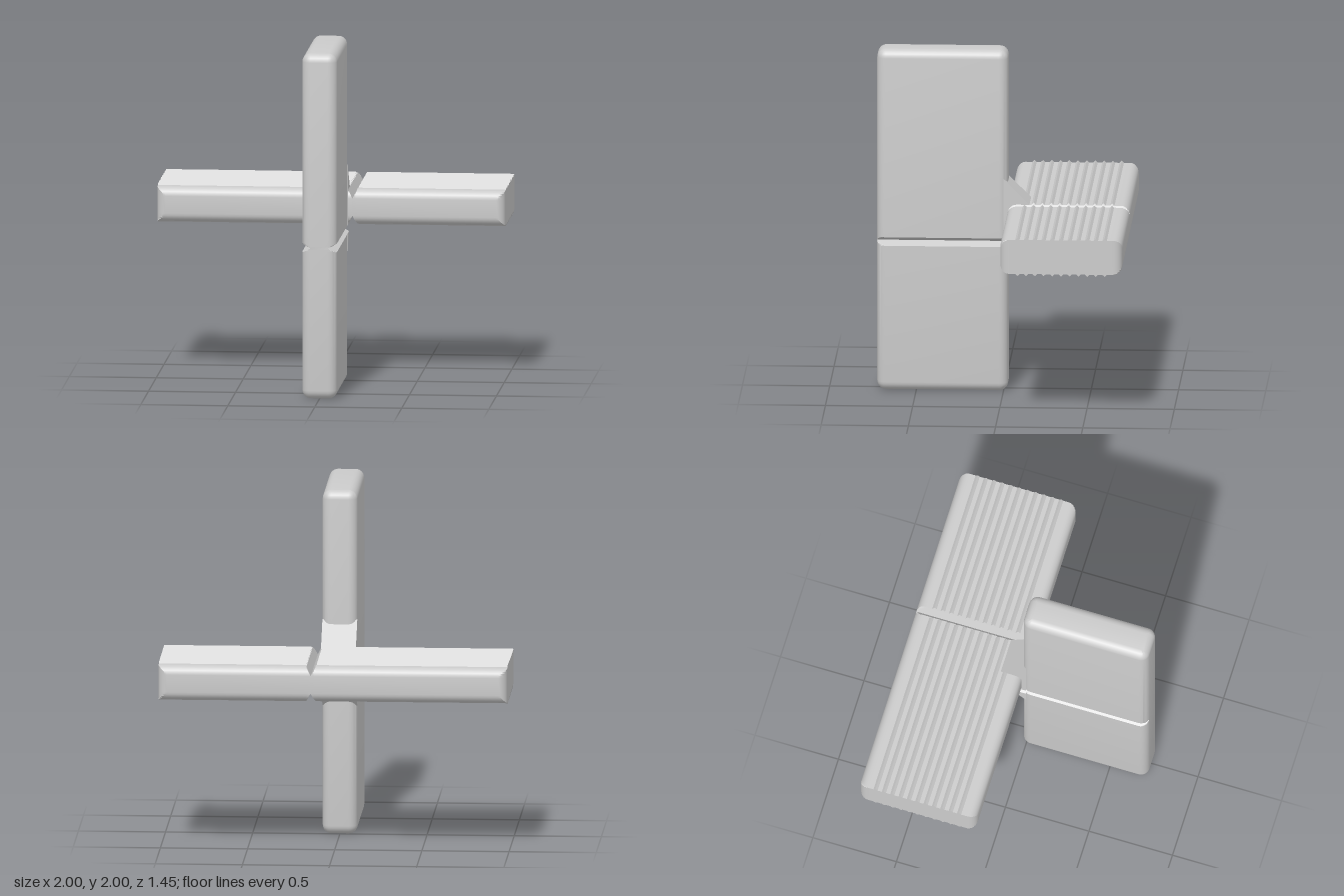
import * as THREE from 'three';
import { toCreasedNormals } from 'three/addons/utils/BufferGeometryUtils.js';

const STEPS = 6;   // segments per rounded corner
const R = 0.05;    // edge radius

// Counter-clockwise rounded rectangle; ridges (if any) stand on the two u faces
function ring(hu, hv, r, ridges = 0) {
  const pts = [];
  const signs = [[1, 1], [-1, 1], [-1, -1], [1, -1]];
  signs.forEach(([su, sv], c) => {
    for (let i = 0; i <= STEPS; i++) {
      const a = (c + i / STEPS) * Math.PI / 2;
      pts.push([su * (hu - r) + r * Math.cos(a), sv * (hv - r) + r * Math.sin(a)]);
    }
    if (ridges && c % 2) {
      const dir = su; // direction of travel along v
      for (let k = 0; k < ridges; k++) {
        const v = dir * (k - (ridges - 1) / 2) * 0.05;
        pts.push([su * hu, v - dir * 0.0125], [su * (hu + 0.0125), v], [su * hu, v + dir * 0.0125]);
      }
    }
  });
  return pts;
}

// Skin a list of cross-sections placed along w, with closed ends
function loft(positions, section, toWorld) {
  const rings = positions.map(section);
  const n = rings[0].length, verts = [], index = [];
  rings.forEach((pts, i) => pts.forEach(([u, v]) => verts.push(...toWorld(u, v, positions[i]))));
  for (let i = 0; i < rings.length - 1; i++) {
    for (let j = 0; j < n; j++) {
      const a = i * n + j, b = i * n + (j + 1) % n;
      index.push(a, b, b + n, a, b + n, a + n);
    }
  }
  const cap = (k, flip) => {
    const flat = rings[k].map(([u, v]) => new THREE.Vector2(u, v));
    for (const [a, b, c] of THREE.ShapeUtils.triangulateShape(flat, [])) {
      const o = k * n;
      index.push(o + a, o + (flip ? c : b), o + (flip ? b : c));
    }
  };
  cap(0, true);
  cap(rings.length - 1, false);
  const g = new THREE.BufferGeometry();
  g.setAttribute('position', new THREE.Float32BufferAttribute(verts, 3));
  g.setIndex(index);
  return toCreasedNormals(g, 0.5);
}

const clamp = THREE.MathUtils.clamp;

// Half thickness left by a V notch cut from both faces around w = centre
const notch = (w, centre) => 0.05 + 2 * Math.abs(w - centre);

// Stations along a plate from lo to hi: rounded ends plus the notch
function stations(lo, hi, centre, halfWidth) {
  const list = [];
  for (let i = 0; i <= STEPS; i++) list.push(lo + R * (1 - Math.cos(i / STEPS * Math.PI / 2)));
  for (let i = -5; i <= 5; i++) list.push(centre + halfWidth * i / 5);
  for (let i = STEPS; i >= 0; i--) list.push(hi - R * (1 - Math.cos(i / STEPS * Math.PI / 2)));
  return list;
}

// Radius remaining at a distance d from a rounded end
const endRadius = (d) => d >= R ? R : Math.sqrt(Math.max(0, R * R - (R - d) ** 2));

export function createModel() {
  const group = new THREE.Group();
  const material = new THREE.MeshStandardMaterial({ color: 0xcccccc });
  const add = (name, geometry) => {
    const mesh = new THREE.Mesh(geometry, material);
    mesh.name = name;
    group.add(mesh);
  };

  // Upright plate, all edges rounded, notched on both sides (u = z, v = x, w = y)
  add('uprightPlate', loft(stations(0, 2, 0.875, 0.025), (y) => {
    const r = endRadius(Math.min(y, 2 - y));
    const h = notch(y, 0.875);
    return ring(0.325 + r, 0.05 + r, r).map(([u, v]) => [u, clamp(v, -h, h)]);
  }, (u, v, w) => [v, w, u + 0.35]));

  // Ridged cross plate, rounded in profile and in plan (u = y, v = z, w = x)
  add('ridgedCrossPlate', loft(stations(-1, 1, 0.125, 0.03125), (x) => {
    const z = 0.3 + endRadius(1 - Math.abs(x));
    const h = notch(x, 0.125);
    return ring(0.1, 0.35, R, 11).map(([u, v]) => [clamp(u, -h, h), clamp(v, -z, z)]);
  }, (u, v, w) => [w, u + 1, v - 0.375]));

  // Sloped gusset joining the plates, sharing the upright's notch
  add('gusset', loft([0.75, 0.85, 0.875, 0.9, 1.1, 1.25], (y) => {
    const depth = Math.min(0.15, 0.25 - Math.abs(y - 1));
    const h = Math.min(0.1, notch(y, 0.875));
    return [[0, -h], [0, h], [-depth, h], [-depth, -h]];
  }, (u, v, w) => [v, w, u]));

  return group;
}
